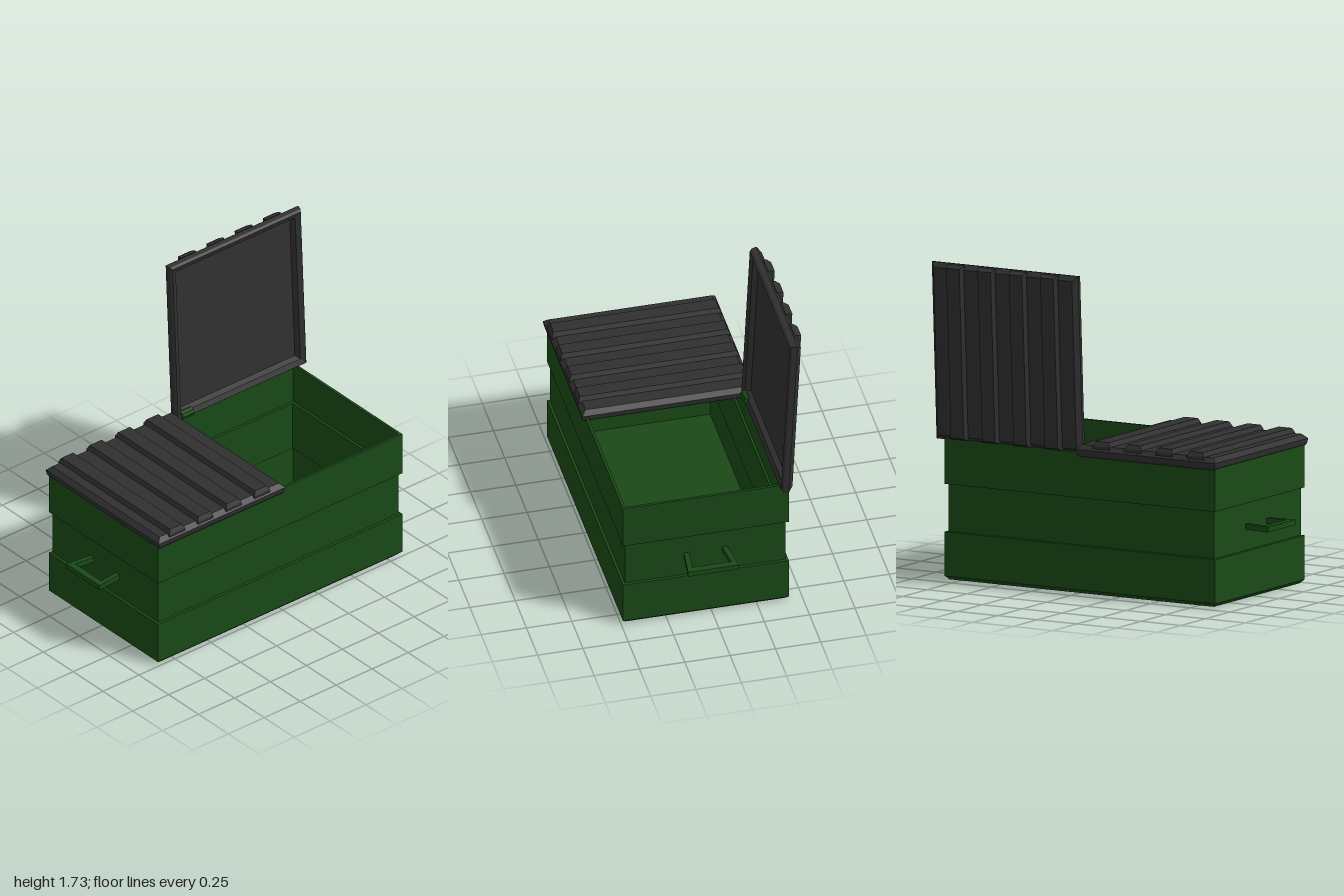
import * as THREE from 'three';

const green = new THREE.MeshStandardMaterial({ color: 0x1a4a17, flatShading: true });
const black = new THREE.MeshStandardMaterial({ color: 0x303030, flatShading: true });

// Capped skin through rectangular rings: base [x0, x1, z0, z1], profile of [y, inset]
function loft([x0, x1, z0, z1], profile) {
  const rings = profile.map(([y, i]) => [
    [x0 + i, y, z1 - i], [x1 - i, y, z1 - i], [x1 - i, y, z0 + i], [x0 + i, y, z0 + i],
  ]);
  const pos = [];
  const quad = (a, b, c, d) => pos.push(...a, ...b, ...c, ...a, ...c, ...d);
  for (let k = 0; k + 1 < rings.length; k++) {
    const a = rings[k], b = rings[k + 1];
    for (let i = 0; i < 4; i++) quad(a[i], a[(i + 1) % 4], b[(i + 1) % 4], b[i]);
  }
  const first = rings[0], last = rings[rings.length - 1];
  quad(first[3], first[2], first[1], first[0]);
  quad(last[0], last[1], last[2], last[3]);
  const g = new THREE.BufferGeometry();
  g.setAttribute('position', new THREE.Float32BufferAttribute(pos, 3));
  g.computeVertexNormals();
  return g;
}

function add(parent, name, geometry, material) {
  const mesh = new THREE.Mesh(geometry, material);
  mesh.name = name;
  parent.add(mesh);
  return mesh;
}

// Hollow tray-shaped lid hinged at its back edge (z = 0), ribs on top
function makeLid(name, width, depth, ribShift) {
  const lid = new THREE.Group();
  lid.name = name;
  const h = width / 2;
  add(lid, 'lidPanel', loft([-h, h, 0, depth], [
    [0.04, 0.06], [0.012, 0.045], [0, 0.015], [0.012, 0.005], [0.04, 0], [0.065, 0.025],
  ]), black);
  for (let i = 0; i < 4; i++) {
    const x = (i - 1.5) * 0.197 + ribShift;
    add(lid, 'lidRib', loft([x - 0.053, x + 0.053, 0.01, depth - 0.005], [
      [0.05, 0], [0.066, 0], [0.09, 0.012],
    ]), black);
  }
  return lid;
}

export function createModel() {
  const model = new THREE.Group();
  model.name = 'storageBin';

  // Open box with a recessed middle band, following the step inside
  add(model, 'binBody', loft([-0.86, 0.84, -0.425, 0.49], [
    [0, 0.02], [0.02, 0], [0.26, 0], [0.262, 0.014], [0.518, 0.014], [0.52, 0], [0.77, 0],
    [0.77, 0.015], [0.535, 0.015], [0.533, 0.028], [0.247, 0.028], [0.245, 0.015], [0.02, 0.02],
  ]), green);

  // Closed lid
  const closedLid = makeLid('closedLid', 0.88, 0.95, -0.012);
  closedLid.position.set(-0.43, 0.745, -0.44);
  model.add(closedLid);

  // Lid standing open
  const openLid = makeLid('openLid', 0.92, 0.97, 0.003);
  openLid.position.set(0.44, 0.762, -0.37);
  openLid.rotation.x = -Math.PI / 2 - 0.05;
  model.add(openLid);

  // Hinge knuckle between the lids
  const hinge = add(model, 'hingeKnuckle', new THREE.CylinderGeometry(0.025, 0.025, 0.08, 8), green);
  hinge.rotation.z = Math.PI / 2;
  hinge.position.set(0.06, 0.79, -0.385);

  // U-shaped side handles
  for (const s of [-1, 1]) {
    const outline = [
      [0.82, -0.09], [1, -0.11], [1, 0.17], [0.82, 0.15],
      [0.82, 0.12], [0.962, 0.138], [0.962, -0.078], [0.82, -0.06],
    ];
    const shape = new THREE.Shape(outline.map(([x, z]) => new THREE.Vector2(s * x, z)));
    const geo = new THREE.ExtrudeGeometry(shape, { depth: 0.03, bevelEnabled: false });
    geo.rotateX(Math.PI / 2);
    const handle = add(model, s > 0 ? 'leftHandle' : 'rightHandle', geo, green);
    handle.position.y = 0.405;
  }
  return model;
}
